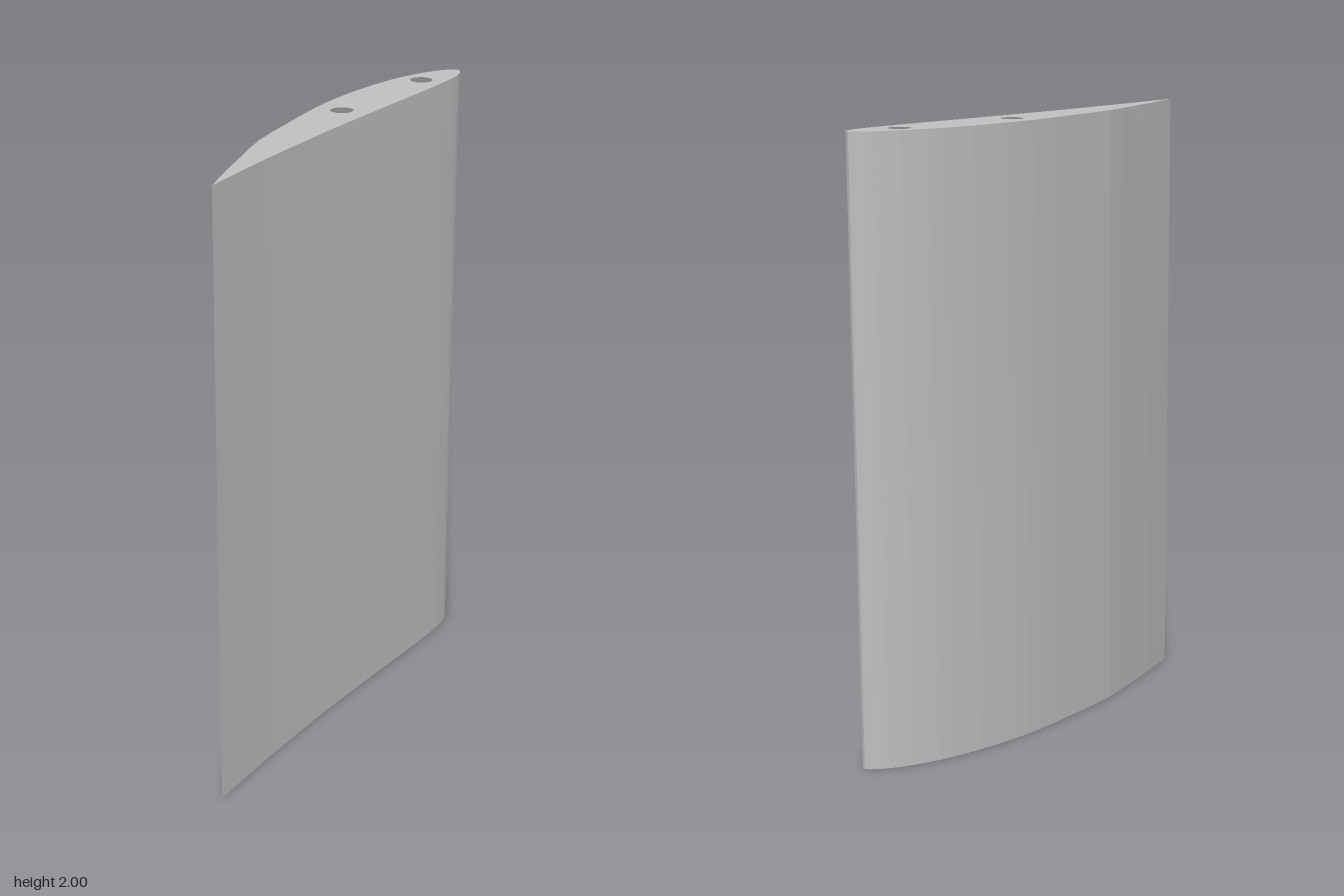
import * as THREE from 'three';

const HEIGHT = 2;
const TAIL_X = -0.797;
const BOTTOM_SCALE = 0.979; // chord is slightly shorter at the bottom
const HOLE_R = 0.037;
const HOLES = [[0.123, -0.043], [0.604, -0.06]]; // x, z

// Section (x, z): from the tail over the back surface, round the nose, home along the front
const SECTION = [
  [TAIL_X, 0.15], [-0.64, 0.083], [-0.47, 0.018], [-0.317, -0.04], [-0.104, -0.089],
  [0.095, -0.13], [0.236, -0.147], [0.385, -0.153], [0.513, -0.147], [0.604, -0.134],
  [0.704, -0.106], [0.764, -0.076], [0.793, -0.045], [0.782, -0.022], [0.747, -0.003],
  [0.704, 0.008], [0.598, 0.021], [0.449, 0.032], [0.194, 0.047], [-0.104, 0.068],
  [-0.4, 0.098], [-0.572, 0.118], [TAIL_X, 0.15],
];

export function createModel() {
  const model = new THREE.Group();
  model.name = 'wingSection';
  const grey = new THREE.MeshStandardMaterial({ color: 0xc0c0c0 });
  grey.name = 'lightGrey';

  // Outline, with z flipped so the extrusion can be stood upright
  const spline = new THREE.SplineCurve(SECTION.map(([x, z]) => new THREE.Vector2(x, -z)));
  const outline = spline.getPoints((SECTION.length - 1) * 2);
  outline.pop();
  const shape = new THREE.Shape(outline);

  // Two spar holes running straight through
  for (const [x, z] of HOLES) {
    shape.holes.push(new THREE.Path().absarc(x, -z, HOLE_R, 0, Math.PI * 2, true));
  }

  let geometry = new THREE.ExtrudeGeometry(shape, {
    depth: HEIGHT, bevelEnabled: false, curveSegments: 16,
  });
  geometry.rotateX(-Math.PI / 2);

  // Shorten the chord towards the bottom, leaving the holes vertical
  const p = geometry.attributes.position;
  for (let i = 0; i < p.count; i++) {
    const x = p.getX(i), y = p.getY(i), z = p.getZ(i);
    const onHole = HOLES.some(([hx, hz]) => Math.hypot(x - hx, z - hz) < HOLE_R + 0.002);
    if (onHole) continue;
    const s = THREE.MathUtils.lerp(BOTTOM_SCALE, 1, y / HEIGHT);
    p.setX(i, TAIL_X + (x - TAIL_X) * s);
  }
  if (geometry.index) geometry = geometry.toNonIndexed();
  geometry.computeVertexNormals(); // faceted strips

  const blade = new THREE.Mesh(geometry, grey);
  blade.name = 'wingBlade';
  model.add(blade);
  return model;
}
